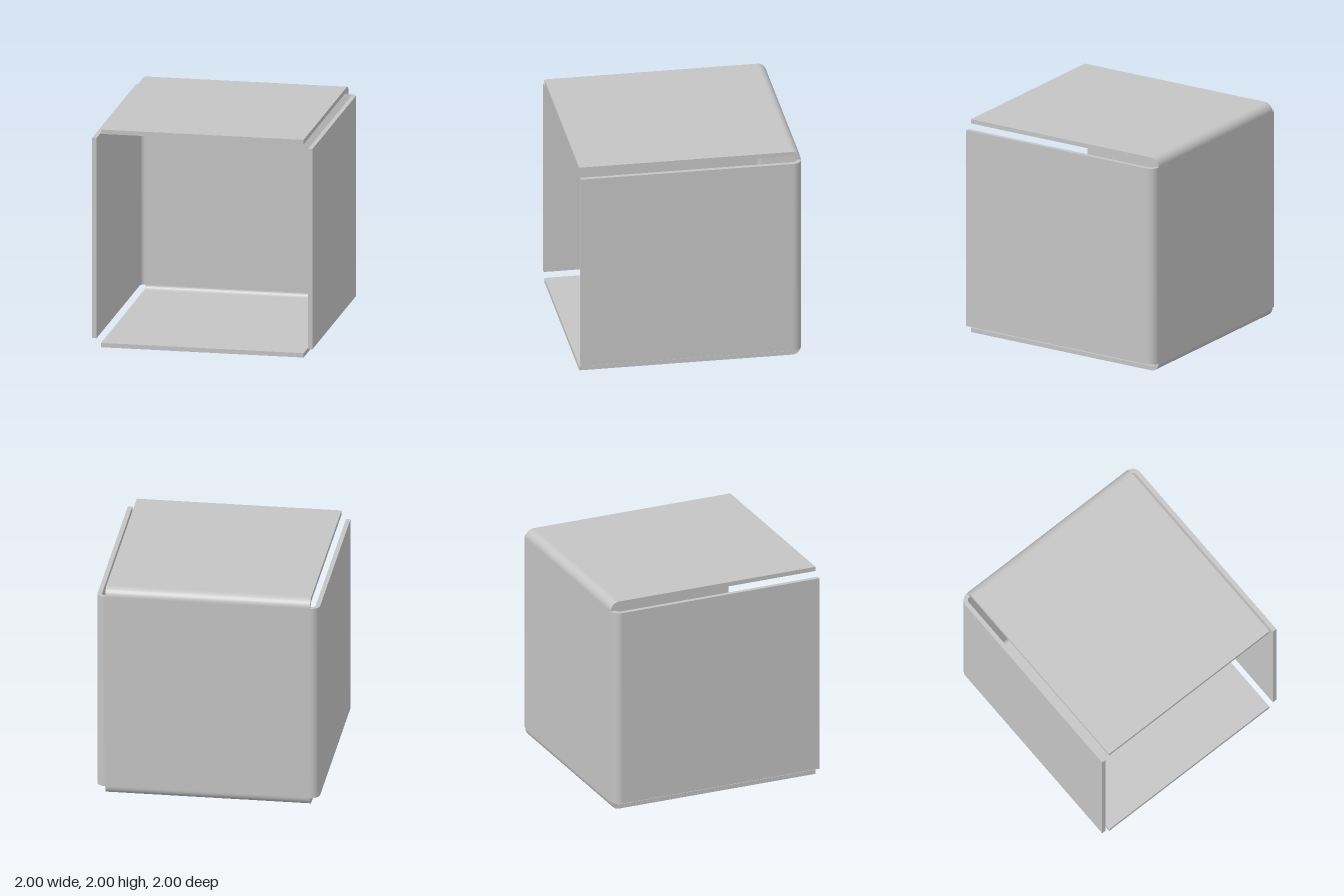
import * as THREE from 'three';
import { toCreasedNormals } from 'three/addons/utils/BufferGeometryUtils.js';

const T = 0.04;      // sheet thickness
const R = 0.08;      // outer bend radius
const H = 1 - R;     // half width of each flat panel

// Quarter-round bend joining the back panel to a flange, running along x
function bendGeometry() {
  const shape = new THREE.Shape();
  shape.absarc(0, 0, R, 0, Math.PI / 2, false);
  shape.absarc(0, 0, R - T, Math.PI / 2, 0, true);
  shape.closePath();
  const geo = new THREE.ExtrudeGeometry(shape, {
    depth: 2 * H, bevelEnabled: false, curveSegments: 20,
  });
  geo.rotateY(Math.PI / 2);
  geo.translate(-H, H, -H);
  return toCreasedNormals(geo, Math.PI / 6);
}

export function createModel() {
  const metal = new THREE.MeshStandardMaterial({ color: 0xc4c4c4 });
  metal.name = 'sheet grey';

  const model = new THREE.Group();
  model.name = 'foldedBox';

  const add = (parent, name, geo) => {
    const mesh = new THREE.Mesh(geo, metal);
    mesh.name = name;
    parent.add(mesh);
    return mesh;
  };

  // Back panel
  add(model, 'backPanel', new THREE.BoxGeometry(2 * H, 2 * H, T))
    .position.set(0, 1, -1 + T / 2);

  // Four flanges folded forward, with open corner gaps between them
  const flangeGeo = new THREE.BoxGeometry(2 * H, T, 1 + H);
  flangeGeo.translate(0, 1 - T / 2, (1 - H) / 2);
  const bendGeo = bendGeometry();
  ['top', 'right', 'bottom', 'left'].forEach((side, i) => {
    const flange = new THREE.Group();
    flange.name = side + 'Flange';
    flange.position.y = 1;
    flange.rotation.z = i * Math.PI / 2;
    add(flange, side + 'Panel', flangeGeo);
    add(flange, side + 'Bend', bendGeo);
    model.add(flange);
  });

  return model;
}
